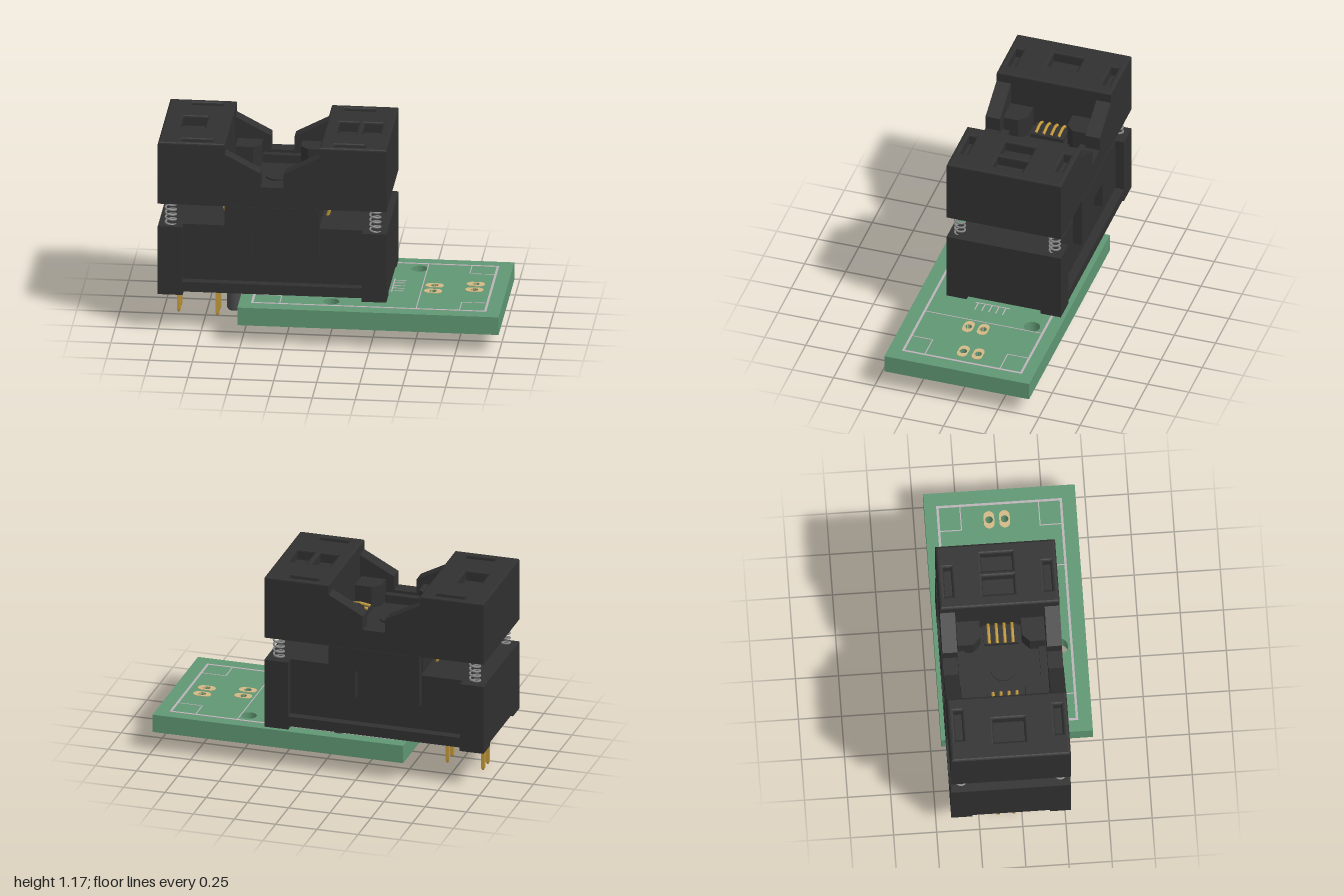
import * as THREE from 'three';

const mat = (color, extra = {}) => new THREE.MeshStandardMaterial({ color, ...extra });
const black = mat(0x303030), green = mat(0x5f9672), gold = mat(0xc39a3a), tan = mat(0xd0b884);
const steel = mat(0x888888), ink = mat(0xb9b2b6), grey = mat(0x4a4a4c);

function add(parent, name, geometry, material, x = 0, y = 0, z = 0) {
  const mesh = new THREE.Mesh(geometry, material);
  mesh.name = name;
  mesh.position.set(x, y, z);
  parent.add(mesh);
  return mesh;
}

// Box given by its limits on each axis
function box(parent, name, material, x0, x1, y0, y1, z0, z1) {
  return add(parent, name, new THREE.BoxGeometry(Math.abs(x1 - x0), y1 - y0, Math.abs(z1 - z0)), material,
    (x0 + x1) / 2, (y0 + y1) / 2, (z0 + z1) / 2);
}

// Plan shapes are drawn in x and -z, then raised along y
const rect = (x0, x1, z0, z1, C = THREE.Shape) => new C([[x0, -z1], [x1, -z1], [x1, -z0], [x0, -z0]]
  .map(p => new THREE.Vector2(...p)));
const disc = (x, z, r) => new THREE.Path().absarc(x, -z, r, 0, Math.PI * 2, true);
const raise = (shape, depth, extra = {}) => new THREE.ExtrudeGeometry(shape,
  { depth, bevelEnabled: false, curveSegments: 16, ...extra }).rotateX(-Math.PI / 2);

function createBoard() {
  const board = new THREE.Group();
  board.name = 'circuitBoard';
  const pads = [];
  for (const [x, zc] of [[0.815, -0.025], [0.58, 0.02], [-0.1, 0.02], [-0.34, -0.025]])
    for (const s of [-1, 1]) pads.push([x, zc + s * 0.045]);

  const plan = rect(-0.52, 1, -0.44, 0.44);
  plan.holes.push(disc(0.465, -0.285, 0.047), disc(0.01, 0.285, 0.047));
  for (const [x, z] of pads) plan.holes.push(disc(x, z, 0.022));
  add(board, 'boardPlate', raise(plan, 0.109), green, 0, 0.117, 0);

  // Solder pads on both faces
  const pad = new THREE.Shape();
  pad.absarc(0.022, 0, 0.031, -Math.PI / 2, Math.PI / 2, false);
  pad.absarc(-0.022, 0, 0.031, Math.PI / 2, Math.PI * 1.5, false);
  pad.holes.push(disc(0, 0, 0.022));
  const padGeometry = raise(pad, 0.116);
  for (const [x, z] of pads) add(board, 'solderPad', padGeometry, tan, x, 0.1135, z);

  // Printed outline and guide lines
  const frame = (x0, x1, z0, z1, w) => {
    const s = rect(x0, x1, z0, z1);
    s.holes.push(rect(x0 + w, x1 - w, z0 + w, z1 - w, THREE.Path));
    add(board, 'printedFrame', raise(s, 0.002), ink, 0, 0.226, 0);
  };
  frame(-0.45, 0.92, -0.37, 0.36, 0.014);
  for (const [x0, x1, z0, z1] of [[0.76, 0.915, -0.365, -0.23], [0.76, 0.915, 0.22, 0.355], [-0.445, -0.28, 0.22, 0.355]])
    frame(x0, x1, z0, z1, 0.006);
  box(board, 'printedLine', ink, 0.508, 0.514, 0.225, 0.228, -0.36, 0.35);
  box(board, 'printedLine', ink, 0.338, 0.345, 0.225, 0.228, -0.11, 0.1);
  for (let i = 0; i < 5; i++)
    box(board, 'printedTick', ink, 0.34, 0.41, 0.225, 0.228, -0.09 + i * 0.042, -0.083 + i * 0.042);
  return board;
}

function createBase() {
  const base = new THREE.Group();
  base.name = 'socketBase';
  box(base, 'baseFloor', black, -0.665, 0.665, 0.25, 0.31, -0.3475, 0.3475);
  box(base, 'baseCore', black, -0.5225, 0.5225, 0.31, 0.65, -0.295, 0.295);
  for (const s of [-1, 1]) {
    box(base, 'baseEnd', black, s * 0.5225, s * 0.665, 0.31, 0.65, -0.3475, 0.3475);
    for (const t of [-1, 1])
      box(base, 'foot', black, s * 0.52, s * 0.665, 0.228, 0.25, t * 0.225, t * 0.3475);
    // Locating pegs with a tapered tip
    const peg = new THREE.LatheGeometry([[0, 0], [0.032, 0], [0.04, 0.012], [0.04, 0.13]]
      .map(p => new THREE.Vector2(...p)), 20);
    add(base, 'locatingPeg', peg, grey, s * 0.229, 0.125, -s * 0.27);
  }

  // Chip seat inside the cover
  box(base, 'seatColumn', black, -0.268, 0.268, 0.65, 0.85, -0.25, 0.25);
  add(base, 'seatDisc', new THREE.CylinderGeometry(0.072, 0.072, 0.02, 32), black, 0, 0.85, 0);
  for (const s of [-1, 1]) {
    box(base, 'contactLedge', black, s * 0.15, s * 0.268, 0.85, 0.875, -0.1, 0.1);
    box(base, 'seatStep', black, -0.11, 0.11, 0.85, 0.9, s * 0.215, s * 0.258);
    for (const t of [-1, 1]) {
      const corner = new THREE.Shape([[0.262, 0.255], [0.262, 0.12], [0.16, 0.12], [0.115, 0.165], [0.115, 0.255]]
        .map(([x, z]) => new THREE.Vector2(s * x, t * z)));
      add(base, 'cornerGuide', raise(corner, 0.13), black, 0, 0.85, 0);
    }
  }
  return base;
}

function createCover() {
  const cover = new THREE.Group();
  cover.name = 'pressCover';
  for (const s of [-1, 1]) {
    box(cover, 'coverEnd', black, s * 0.275, s * 0.665, 0.79, 1.11, -0.3475, 0.3475);
    // Bevelled top slab with pockets
    const b = 0.014, xs = [s * (0.275 + b), s * (0.665 - b)].sort((p, q) => p - q);
    const slab = rect(xs[0], xs[1], -0.3475 + b, 0.3475 - b);
    const pocket = (x0, x1, z0, z1) =>
      slab.holes.push(rect(x0 - b, x1 + b, z0 - b, z1 + b, THREE.Path));
    for (const t of [-1, 1])
      pocket(s * 0.443 - 0.088, s * 0.443 + 0.088, t * 0.289 - 0.022, t * 0.289 + 0.022);
    if (s < 0) pocket(-0.56, -0.42, -0.09, 0.09);
    else {
      pocket(0.35, 0.46, -0.09, 0.09);
      pocket(0.495, 0.6, -0.09, 0.09);
    }
    add(cover, 'coverTop', raise(slab, 0.085, { bevelEnabled: true, bevelSize: b, bevelThickness: b, bevelSegments: 3 }),
      black, 0, 1.175 - b - 0.085, 0);

    // V-notched side wall with two thin guide legs below
    const wall = new THREE.Shape([[-0.275, 0.79], [0.275, 0.79], [0.275, 1.11], [0.068, 1], [0.068, 0.915],
      [-0.068, 0.915], [-0.068, 1], [-0.275, 1.11]].map(p => new THREE.Vector2(...p)));
    const wallGeometry = new THREE.ExtrudeGeometry(wall, { depth: 0.0875, bevelEnabled: false });
    add(cover, 'notchedWall', wallGeometry, black, 0, 0, s > 0 ? 0.26 : -0.3475);
    box(cover, 'wallSkirt', black, -0.275, 0.275, 0.65, 0.79, s * 0.297, s * 0.35);
    for (const t of [-1, 1])
      box(cover, 'guideLeg', black, t * 0.115, t * 0.275, 0.475, 0.65, s * 0.296, s * 0.35);
  }
  return cover;
}

function createMetalParts() {
  const metal = new THREE.Group();
  metal.name = 'springsAndContacts';
  // Coil springs at the four corners
  const coil = [];
  for (let i = 0; i <= 90; i++) {
    const a = i / 90 * Math.PI * 2 * 5;
    coil.push(new THREE.Vector3(Math.cos(a) * 0.03, 0.645 + 0.15 * i / 90, Math.sin(a) * 0.03));
  }
  const spring = new THREE.TubeGeometry(new THREE.CatmullRomCurve3(coil), 160, 0.006, 6);
  for (const x of [-0.595, 0.595])
    for (const z of [-0.288, 0.288]) add(metal, 'spring', spring, steel, x, 0, z);

  for (const s of [-1, 1]) {
    // Bowed contact fingers
    const path = new THREE.CatmullRomCurve3([[0.27, 0.6], [0.3, 0.66], [0.313, 0.72], [0.3, 0.79],
      [0.28, 0.87], [0.235, 0.893], [0.15, 0.885]].map(([x, y]) => new THREE.Vector3(s * x, y, 0)));
    const finger = new THREE.TubeGeometry(path, 30, 0.009, 8);
    [-0.069, -0.023, 0.023, 0.069].forEach((z, i) => {
      add(metal, 'contactFinger', finger, gold, 0, 0, z);
      // Staggered pins with a pointed tip
      const x = s * (i % 2 ? 0.345 : 0.575);
      box(metal, 'pin', gold, x - 0.011, x + 0.011, 0.014, 0.3, z - 0.009, z + 0.009);
      add(metal, 'pinTip', new THREE.CylinderGeometry(0.0127, 0.006, 0.014, 4).rotateY(Math.PI / 4), gold, x, 0.007, z);
    });
  }
  return metal;
}

export function createModel() {
  const model = new THREE.Group();
  model.name = 'testSocketOnBoard';
  const socket = new THREE.Group();
  socket.name = 'testSocket';
  socket.position.set(-0.335, 0, -0.0685);
  socket.add(createBase(), createCover(), createMetalParts());
  model.add(createBoard(), socket);
  return model;
}
